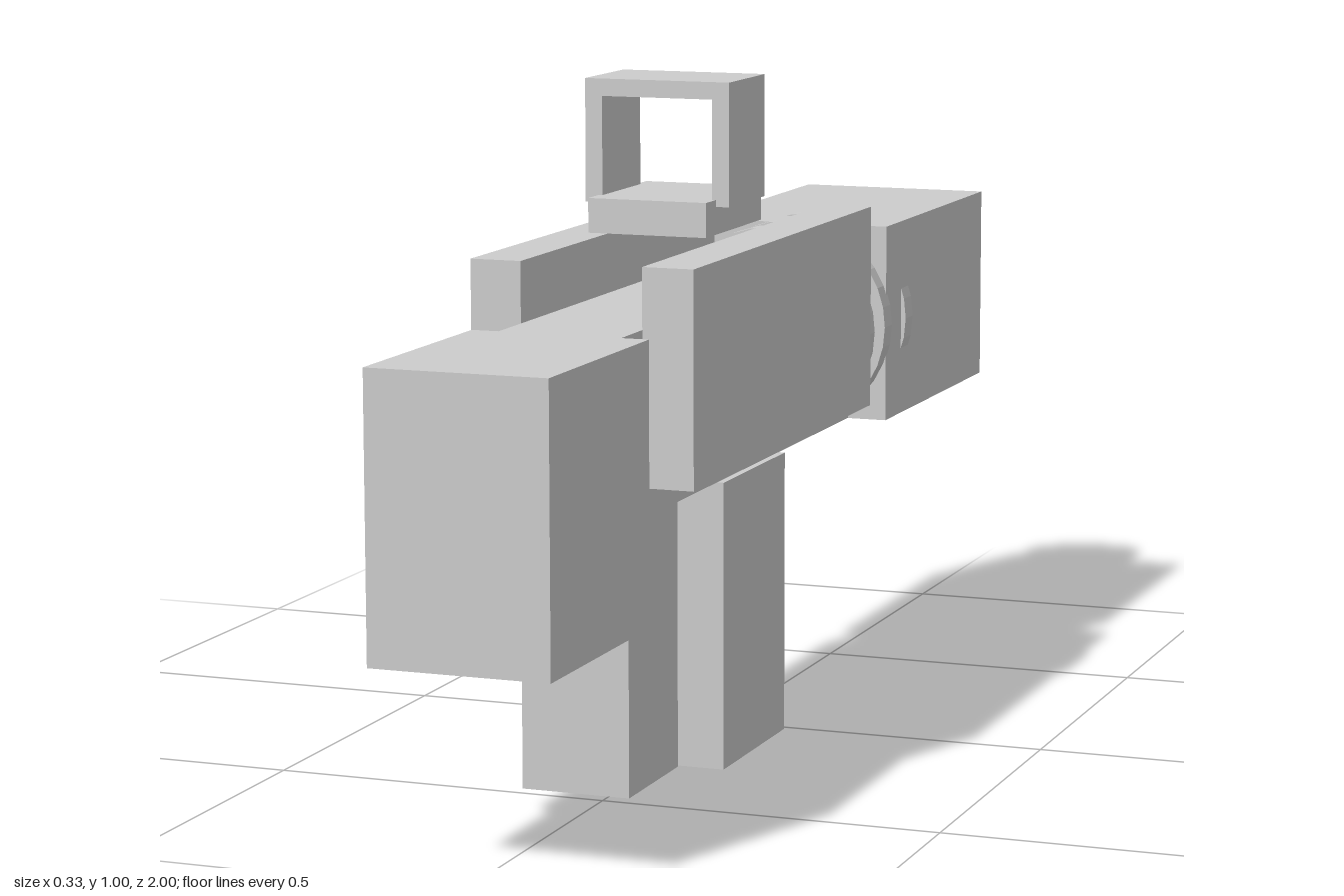
import * as THREE from 'three';

const AXIS_Y = 0.576; // height of the barrel axis

export function createModel() {
  const model = new THREE.Group();
  const grey = new THREE.MeshStandardMaterial({ color: 0xcccccc, flatShading: true });
  grey.name = 'plain grey';

  const add = (name, geometry) => {
    const mesh = new THREE.Mesh(geometry, grey);
    mesh.name = name;
    model.add(mesh);
    return mesh;
  };

  // Block given by its extents on each axis
  const block = (name, [x0, x1], [y0, y1], [z0, z1]) =>
    add(name, new THREE.BoxGeometry(x1 - x0, y1 - y0, z1 - z0))
      .position.set((x0 + x1) / 2, (y0 + y1) / 2, (z0 + z1) / 2);

  // Cylinder lying along z on the barrel axis
  const drum = (name, radius, z0, z1) =>
    add(name, new THREE.CylinderGeometry(radius, radius, z1 - z0, 32).rotateX(Math.PI / 2))
      .position.set(0, AXIS_Y, (z0 + z1) / 2);

  // Stock, receiver and the parts hanging below
  block('stock', [-0.13, 0.13], [0.29, 0.688], [0.648, 1]);
  block('receiver', [-0.09, 0.09], [0.425, 0.688], [-0.33, 0.648]);
  block('grip', [-0.08, 0.08], [0.035, 0.425], [0.41, 0.6]);
  block('magazine', [-0.1, 0.1], [0, 0.425], [0.01, 0.275]);
  block('triggerGuard', [-0.025, 0.025], [0.29, 0.34], [0.275, 0.41]);

  // Raised side panels
  block('leftPanel', [0.09, 0.165], [0.468, 0.775], [-0.2, 0.57]);
  block('rightPanel', [-0.165, -0.09], [0.468, 0.775], [-0.2, 0.57]);

  // Barrel shroud, collars and muzzle
  block('shroud', [-0.152, 0.152], [0.425, 0.73], [-0.825, -0.316]);
  [-0.236, -0.322, -0.428].forEach((z, i) => drum('collar' + (i + 1), 0.16, z, z + 0.036));
  drum('muzzle', 0.097, -1, -0.825);

  // Sight: a base plate with an arched frame above it
  block('sightBase', [-0.09, 0.09], [0.785, 0.835], [0.09, 0.32]);
  const arch = new THREE.Shape([
    [-0.11, 0.825], [-0.084, 0.825], [-0.084, 0.978], [0.084, 0.978],
    [0.084, 0.825], [0.11, 0.825], [0.11, 1.003], [-0.11, 1.003],
  ].map(([x, y]) => new THREE.Vector2(x, y)));
  add('sightFrame', new THREE.ExtrudeGeometry(arch, { depth: 0.15, bevelEnabled: false }))
    .position.z = 0.13;

  return model;
}
